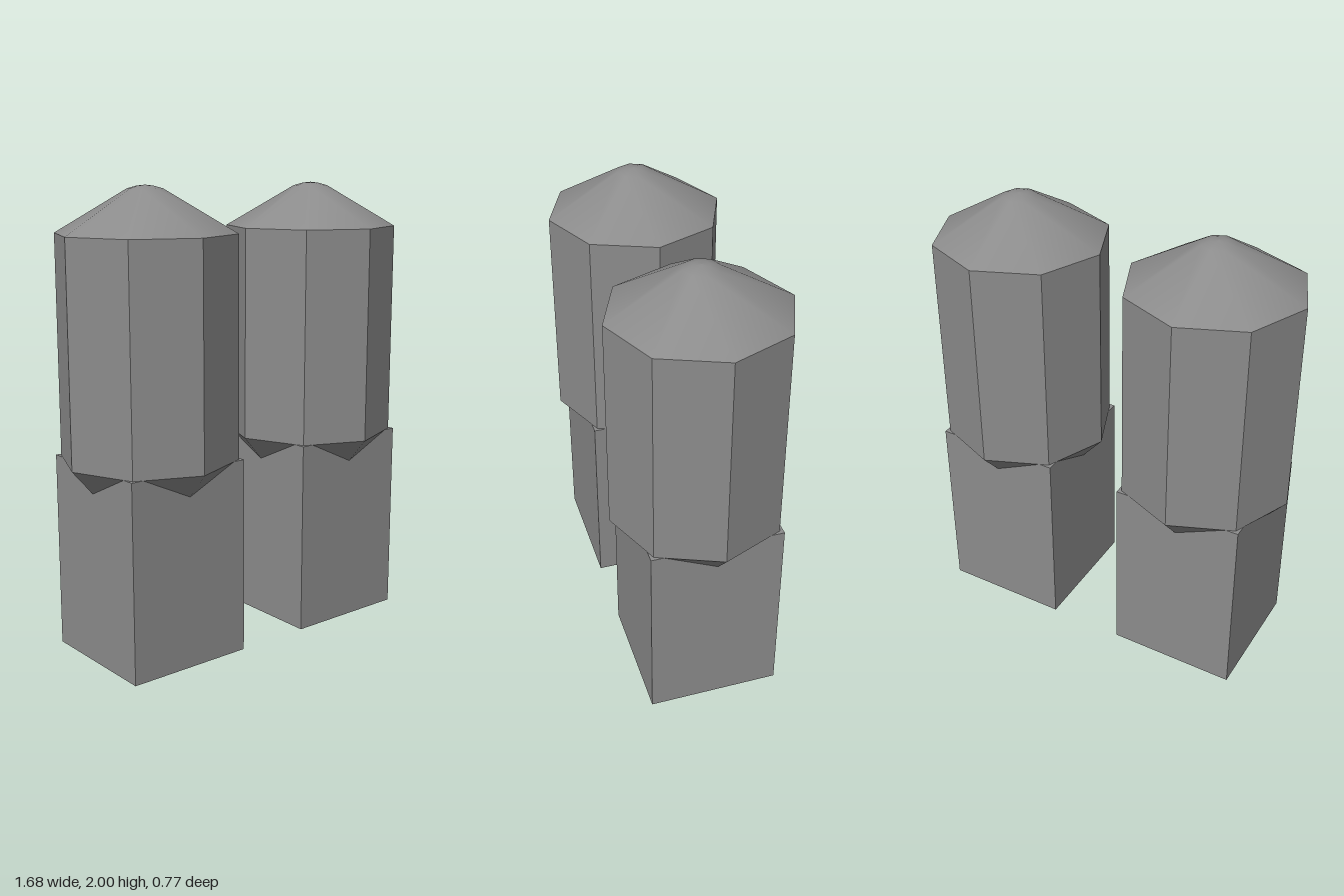
import * as THREE from 'three';
import { toCreasedNormals } from 'three/addons/utils/BufferGeometryUtils.js';

const SIDES = 8, RADIUS = 0.383, HALF_BASE = 0.287;
const SHOULDER = 0.86, EAVES = 1.805;

// Eight-sided turned shape; points run from bottom to top
function turned(points) {
  return new THREE.LatheGeometry(points.map(([r, y]) => new THREE.Vector2(r, y)), SIDES);
}

export function createModel() {
  const model = new THREE.Group();
  const grey = new THREE.MeshStandardMaterial({ color: 0x8c8c8c });
  grey.name = 'grey';

  // Square base
  const base = new THREE.BoxGeometry(2 * HALF_BASE, SHOULDER, 2 * HALF_BASE);
  base.translate(0, SHOULDER / 2, 0);

  const parts = {
    base,
    // Tapered underside that sinks into the base
    taper: turned([[0.2, 0.65], [RADIUS, SHOULDER]]),
    // Faceted octagonal shaft
    shaft: toCreasedNormals(turned([[RADIUS, SHOULDER], [RADIUS, EAVES]]), 0.3),
    // Smooth cap with a softly rounded tip
    cap: turned([[RADIUS, EAVES], [0.075, 1.985], [0.035, 1.996], [0, 2]]),
  };

  // Matching pair
  for (const [name, x] of [['leftPillar', 0.457], ['rightPillar', -0.457]]) {
    const pillar = new THREE.Group();
    pillar.name = name;
    pillar.position.x = x;
    for (const [part, geometry] of Object.entries(parts)) {
      const mesh = new THREE.Mesh(geometry, grey);
      mesh.name = part;
      pillar.add(mesh);
    }
    model.add(pillar);
  }
  return model;
}
